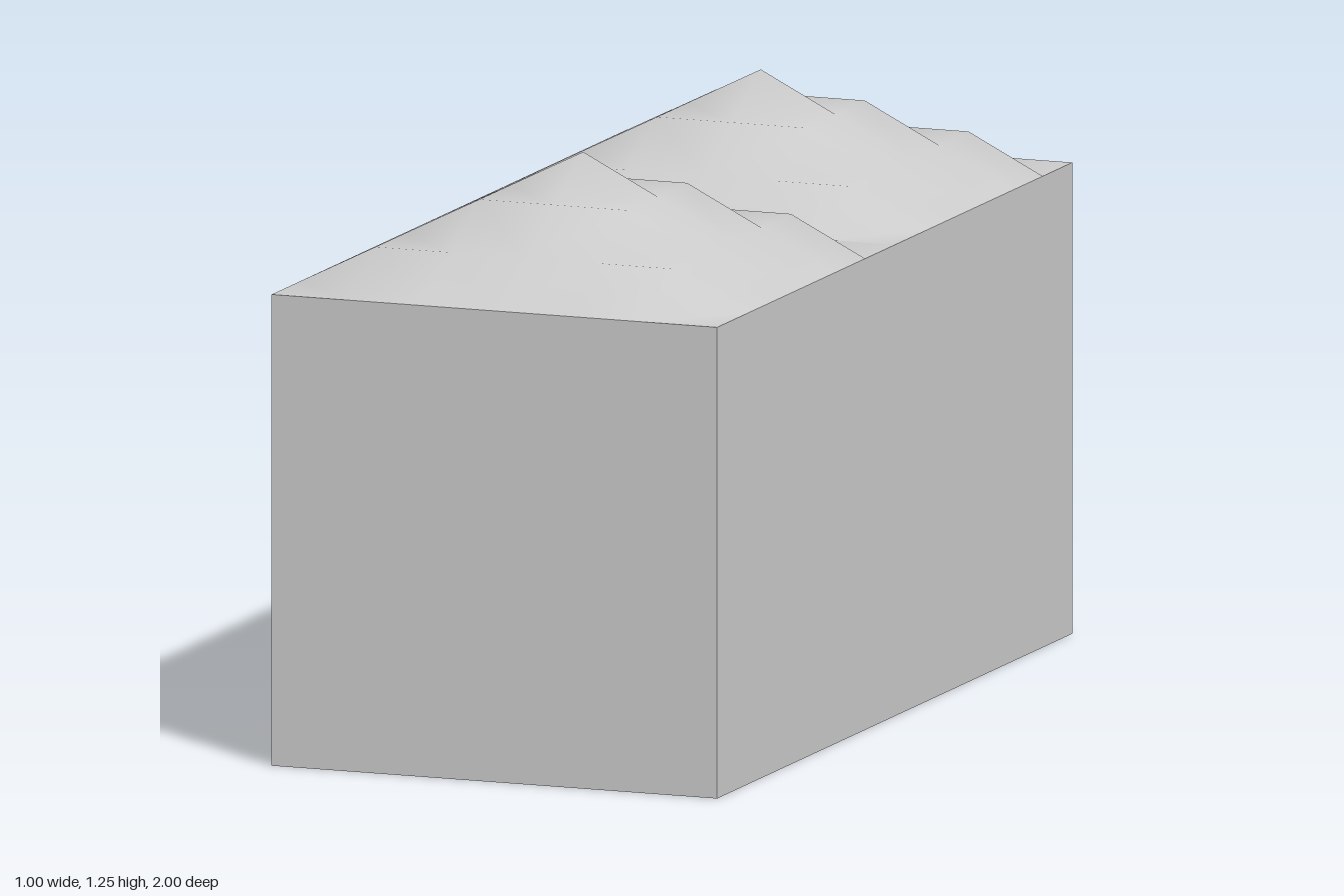
import * as THREE from 'three';

const material = new THREE.MeshStandardMaterial({ color: 0xcccccc });
const N = 6; // grid cells along each side of a roof peak

// Smooth square pyramid on a 1 x 1 grid; each cell is split across the hip,
// which leaves a small level facet at every step along the hips.
function peakGeometry() {
  const positions = [], index = [];
  for (let j = 0; j <= N; j++) {
    for (let i = 0; i <= N; i++) {
      const x = i / N - 0.5, z = j / N - 0.5;
      positions.push(x, 0.25 - 0.5 * Math.max(Math.abs(x), Math.abs(z)), z);
    }
  }
  for (let j = 0; j < N; j++) {
    for (let i = 0; i < N; i++) {
      const a = j * (N + 1) + i, b = a + 1, c = a + N + 1, d = c + 1;
      const sameSign = (i < N / 2) === (j < N / 2);
      if (sameSign) index.push(a, c, b, b, c, d);
      else index.push(a, c, d, a, d, b);
    }
  }
  const geometry = new THREE.BufferGeometry();
  geometry.setAttribute('position', new THREE.Float32BufferAttribute(positions, 3));
  geometry.setIndex(index);
  geometry.computeVertexNormals();
  return geometry;
}

// Box without its top face, which the roof replaces
function openBox(w, h, d) {
  const geometry = new THREE.BoxGeometry(w, h, d);
  const index = Array.from(geometry.index.array);
  index.splice(12, 6);
  geometry.setIndex(index);
  geometry.clearGroups();
  return geometry;
}

export function createModel() {
  const group = new THREE.Group();
  group.name = 'twinPeakBlock';

  // Walls and floor
  const body = new THREE.Mesh(openBox(1, 1, 2), material);
  body.name = 'body';
  body.position.y = 0.5;
  group.add(body);

  // Two roof peaks meeting in a valley
  const geometry = peakGeometry();
  for (const [name, z] of [['frontRoofPeak', 0.5], ['backRoofPeak', -0.5]]) {
    const peak = new THREE.Mesh(geometry, material);
    peak.name = name;
    peak.position.set(0, 1, z);
    group.add(peak);
  }
  return group;
}
